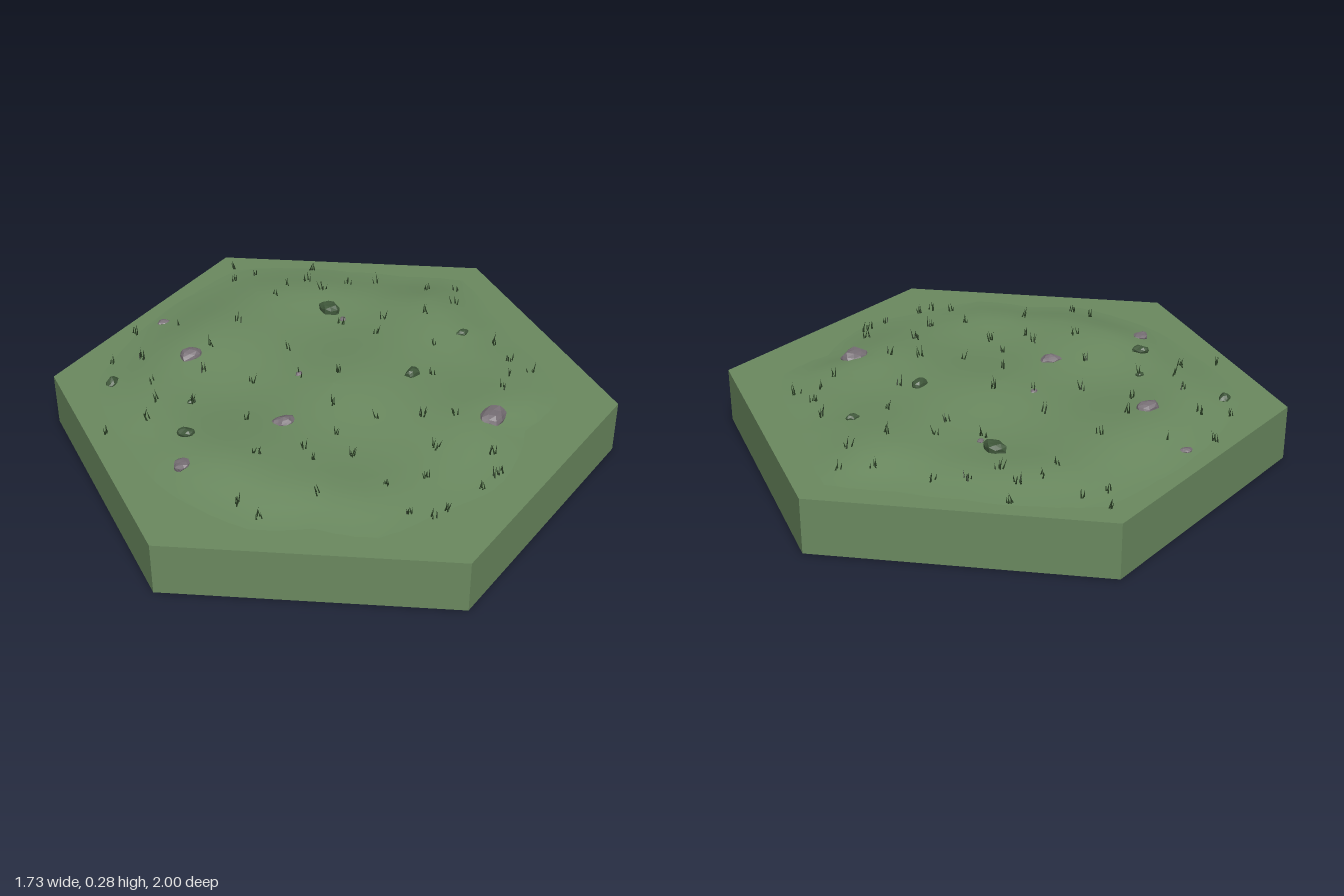
import * as THREE from 'three';
import { mergeGeometries } from 'three/addons/utils/BufferGeometryUtils.js';

const mat = (name, color) => {
  const m = new THREE.MeshStandardMaterial({ color });
  m.name = name;
  return m;
};

function seeded(seed) {
  return () => {
    seed = (seed * 1664525 + 1013904223) % 4294967296;
    return seed / 4294967296;
  };
}

const TOP = 0.2;

// Mound outline: one radius every 15 degrees, from +x towards +z
const outline = [0.76, 0.8, 0.84, 0.72, 0.76, 0.82, 0.82, 0.84, 0.77, 0.82, 0.8, 0.8,
  0.79, 0.82, 0.86, 0.84, 0.83, 0.86, 0.93, 0.86, 0.82, 0.84, 0.92, 0.8];

function outlineRadius(angle) {
  const n = outline.length;
  const t = ((angle / (2 * Math.PI)) * n + n) % n;
  const i = Math.floor(t);
  return THREE.MathUtils.lerp(outline[i % n], outline[(i + 1) % n], t - i);
}

// Gentle bumps that fade to the flat tile at the outline
function groundHeight(x, z) {
  const f = Math.hypot(x, z) / outlineRadius(Math.atan2(z, x));
  const fade = 1 - THREE.MathUtils.smoothstep(f, 0.68, 1);
  const bumps = 0.008 * Math.sin(5.2 * x + 2.1 * z + 0.6) * Math.cos(4.3 * z - 1.7 * x)
    + 0.005 * Math.sin(9 * x - 6 * z + 1) + 0.004 * Math.cos(11 * z + 5 * x)
    + 0.006 * Math.cos(6 * (Math.abs(x) - 0.5)) - 0.004 * z;
  return TOP - 0.002 + fade * (0.027 + bumps);
}

function moundGeometry(rings = 13, sides = 72) {
  const pos = [], index = [];
  for (let r = 0; r <= rings; r++) {
    for (let s = 0; s < sides; s++) {
      const a = (s / sides) * 2 * Math.PI;
      const d = outlineRadius(a) * r / rings;
      const x = Math.cos(a) * d, z = Math.sin(a) * d;
      pos.push(x, groundHeight(x, z), z);
      if (r === rings) continue;
      const t = (s + 1) % sides, i = r * sides, o = i + sides;
      index.push(i + s, o + t, o + s);
      if (r > 0) index.push(i + s, i + t, o + t);
    }
  }
  const g = new THREE.BufferGeometry();
  g.setAttribute('position', new THREE.Float32BufferAttribute(pos, 3));
  g.setIndex(index);
  g.computeVertexNormals();
  return g;
}

// Faceted lump; equal corners get equal jitter so it stays closed
function lumpGeometry(rx, ry, rz, seed) {
  const g = new THREE.IcosahedronGeometry(1, 1);
  const p = g.attributes.position, v = new THREE.Vector3();
  for (let i = 0; i < p.count; i++) {
    v.fromBufferAttribute(p, i);
    const k = 1 + 0.16 * Math.sin(v.x * 4.1 + seed * 2.3) * Math.cos(v.z * 3.7 + seed)
      + 0.08 * Math.sin(v.y * 5 + seed * 4);
    p.setXYZ(i, v.x * k * rx, v.y * k * ry, v.z * k * rz);
  }
  g.computeVertexNormals();
  return g;
}

// A few thin, leaning three-sided blades
function tuftGeometry(rand) {
  const blades = [];
  const count = 3 + Math.floor(rand() * 3);
  for (let i = 0; i < count; i++) {
    const h = 0.022 + rand() * 0.026;
    const blade = new THREE.ConeGeometry(0.0035, h, 3);
    blade.translate(0, h / 2 - 0.003, 0);
    blade.rotateX((rand() - 0.5) * 0.6);
    blade.rotateZ((rand() - 0.5) * 0.6);
    blade.translate((rand() - 0.5) * 0.024, 0, (rand() - 0.5) * 0.024);
    blades.push(blade);
  }
  return mergeGeometries(blades);
}

const tufts = [[0, -0.9], [-0.04, -0.82], [0.05, -0.82], [0.27, -0.76], [0.13, -0.68], [0.21, -0.68],
  [0.06, -0.63], [-0.52, -0.63], [0.35, -0.6], [0.24, -0.59], [0.45, -0.56], [-0.36, -0.6], [-0.15, -0.5],
  [-0.3, -0.39], [0.2, -0.35], [-0.55, -0.45], [-0.65, -0.49], [0.6, -0.42], [0.64, -0.28], [0.7, -0.38],
  [-0.38, -0.28], [-0.57, -0.28], [-0.05, -0.27], [0.5, -0.25], [0.28, -0.22], [-0.6, -0.18], [-0.24, -0.15],
  [-0.48, -0.12], [-0.08, -0.1], [-0.66, -0.1], [0.05, -0.05], [0.35, -0.3], [0.65, 0], [0.65, 0.12],
  [0.69, 0.21], [0.6, 0.2], [-0.4, 0.26], [-0.24, 0.28], [0.05, 0.24], [-0.1, 0.25], [-0.55, 0.44],
  [-0.51, 0.53], [-0.24, 0.35], [-0.1, 0.38], [0.16, 0.47], [0.06, 0.58], [-0.07, 0.56], [-0.3, 0.52],
  [0.32, 0.56], [0.31, 0.65], [0.28, 0.67], [0.21, 0.7], [0, 0.76], [-0.07, 0.72], [0.05, 0.74], [0.2, 0.3],
  [0.35, 0.1], [0.44, -0.06], [0.3, 0.35], [-0.35, 0.05], [-0.8, -0.1], [0.53, 0.27], [-0.05, 0.1]];

// x, z, radius, turn
const stones = [[-0.39, -0.38, 0.046, 0.3], [-0.24, 0.12, 0.038, 0], [-0.64, 0.19, 0.034, 0.7],
  [0.42, 0.4, 0.056, 0.4], [-0.39, -0.66, 0.022, 0], [0.22, -0.375, 0.015, 1], [-0.08, -0.11, 0.015, 0.5]];
const shrubs = [[0.2, -0.45, 0.044, -1], [-0.69, -0.37, 0.028, 0.8], [-0.57, 0.05, 0.031, -0.5],
  [0.28, 0.07, 0.032, 0.4], [0.57, -0.085, 0.022, 0], [-0.485, -0.12, 0.016, 0]];

export function createModel() {
  const group = new THREE.Group();
  const meadow = mat('meadow green', 0x6b8a60);
  const stone = mat('stone grey', 0x776f75);
  const leaf = mat('dark leaf green', 0x3f573a);
  const blade = mat('grass green', 0x2f4529);
  const pale = mat('pale grey', 0xd0cdd0);

  const add = (name, geometry, material, x = 0, y = 0, z = 0, turn = 0) => {
    const m = new THREE.Mesh(geometry, material);
    m.name = name;
    m.position.set(x, y, z);
    m.rotation.y = turn;
    group.add(m);
    return m;
  };

  // Six-sided tile with crisp edges
  const tile = new THREE.CylinderGeometry(1, 1, TOP - 0.002, 6).toNonIndexed();
  tile.computeVertexNormals();
  add('hexTile', tile, meadow, 0, TOP / 2 + 0.001, 0);

  add('undersidePlate', new THREE.BoxGeometry(0.19, 0.004, 0.19), pale, 0, 0.002, 0);
  add('grassMound', moundGeometry(), meadow);

  // Half-buried stones and low shrubs
  stones.forEach(([x, z, r, turn], i) =>
    add('stone', lumpGeometry(r, r * 0.45, r * 0.75, i + 1), stone, x, groundHeight(x, z), z, turn));
  shrubs.forEach(([x, z, r, turn], i) =>
    add('shrub', lumpGeometry(r, r * 0.62, r * 0.68, i + 9), leaf, x, groundHeight(x, z) + r * 0.1, z, turn));

  // Grass tufts
  const rand = seeded(17);
  for (const [x, z] of tufts) {
    add('grassTuft', tuftGeometry(rand), blade, x, Math.max(TOP, groundHeight(x, z)), z, rand() * 6.28);
  }
  return group;
}
